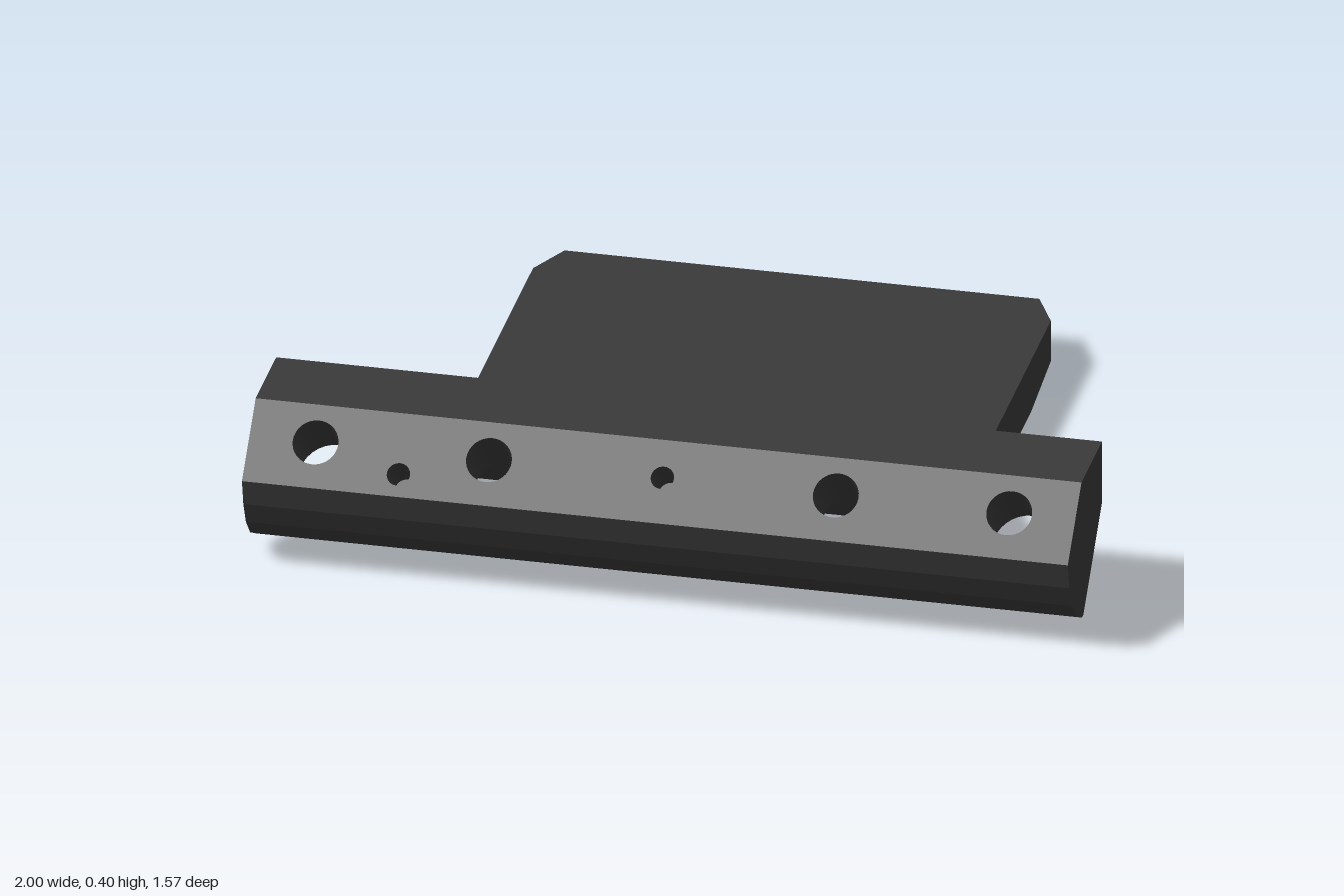
import * as THREE from 'three';

const COLOR = 0x3a3a3a;
const flat = new THREE.MeshStandardMaterial({ color: COLOR, flatShading: true, side: THREE.DoubleSide });
const smooth = new THREE.MeshStandardMaterial({ color: COLOR, side: THREE.DoubleSide });

function add(parent, name, geometry, material = flat) {
  const mesh = new THREE.Mesh(geometry, material);
  mesh.name = name;
  parent.add(mesh);
  return mesh;
}

// Sections are lists of [z, y] points, counter-clockwise
const sectionShape = (pts) => new THREE.Shape(pts.map(([z, y]) => new THREE.Vector2(z, y)));

// Section swept across x, centred on x = 0
function sweep(pts, halfWidth) {
  return new THREE.ExtrudeGeometry(sectionShape(pts), { depth: 2 * halfWidth, bevelEnabled: false })
    .translate(0, 0, -halfWidth)
    .rotateY(-Math.PI / 2);
}

// Walls of a section between x = -1 and x = 1, leaving some edges open
function sweepWalls(pts, openEdges) {
  const v = [];
  pts.forEach((a, i) => {
    if (openEdges.includes(i)) return;
    const b = pts[(i + 1) % pts.length];
    const p = (q, x) => v.push(x, q[1], q[0]);
    p(a, -1); p(b, 1); p(b, -1);
    p(a, -1); p(a, 1); p(b, 1);
  });
  const g = new THREE.BufferGeometry();
  g.setAttribute('position', new THREE.Float32BufferAttribute(v, 3));
  g.computeVertexNormals();
  return g;
}

// Flat face, 2 wide, pierced by round holes { x, y, r }
function piercedFace(halfHeight, holes) {
  const s = new THREE.Shape([[-1, -1], [1, -1], [1, 1], [-1, 1]]
    .map(([x, y]) => new THREE.Vector2(x, y * halfHeight)));
  for (const h of holes) {
    s.holes.push(new THREE.Path().absarc(h.x, h.y, h.r, 0, Math.PI * 2, true));
  }
  return new THREE.ShapeGeometry(s, 16);
}

// Open bore along local z, from z0 down to z1
function bore(parent, name, h, r, z0, z1) {
  const g = new THREE.CylinderGeometry(r, r, z0 - z1, 32, 1, true)
    .rotateX(Math.PI / 2)
    .translate(h.x, h.y, (z0 + z1) / 2);
  add(parent, name, g, smooth);
}

function buildBar() {
  const bar = new THREE.Group();
  bar.name = 'clampBar';

  const section = [
    [0.42, 0.24], [0.62, 0.04], [0.635, 0.04], [0.70, 0.075], [0.745, 0.125],
    [0.772, 0.185], [0.787, 0.253], [0.64, 0.40], [0.42, 0.40],
  ];
  add(bar, 'barWalls', sweepWalls(section, [0, 6]));
  for (const x of [-1, 1]) {
    add(bar, 'barEnd', new THREE.ShapeGeometry(sectionShape(section)).rotateY(-Math.PI / 2).translate(x, 0, 0));
  }

  // The two parallel slanted faces, in a frame tilted 45 degrees
  const tilted = new THREE.Group();
  tilted.name = 'boltFaces';
  tilted.position.set(0, 0.3265, 0.7135);
  tilted.rotation.x = -Math.PI / 4;
  bar.add(tilted);

  const back = -0.2687, step = -0.165;
  const bolts = [-0.84, -0.42, 0.42, 0.84].map((x) => ({ x, y: 0.01, r: 0.055 }));
  const pins = [{ x: 0, y: 0.01, r: 0.028 }, { x: -0.63, y: -0.048, r: 0.028 }];

  add(tilted, 'upperSlantedFace', piercedFace(0.104, [...bolts, ...pins]));
  const under = add(tilted, 'lowerSlantedFace',
    piercedFace(0.1414, bolts.map((h) => ({ x: h.x, y: -0.005, r: 0.085 }))));
  under.rotation.x = Math.PI;
  under.position.set(0, 0.005, back);

  // Counterbored bolt holes
  for (const h of bolts) {
    bore(tilted, 'boltHole', h, h.r, 0, step);
    bore(tilted, 'counterbore', h, 0.085, step, back);
    add(tilted, 'counterboreStep', new THREE.RingGeometry(h.r, 0.085, 32).translate(h.x, h.y, step));
  }
  // Blind pin holes
  for (const h of pins) {
    bore(tilted, 'pinHole', h, h.r, 0, -0.12);
    add(tilted, 'pinHoleBottom', new THREE.CircleGeometry(h.r, 32).translate(h.x, h.y, -0.12));
  }
  return bar;
}

export function createModel() {
  const model = new THREE.Group();
  model.name = 'mountingBracket';
  model.add(buildBar());

  // Plate sweeping down from the bar
  add(model, 'plate', sweep([
    [-0.68, 0.03], [-0.47, 0], [0.16, 0], [0.387, 0.21], [0.42, 0.218], [0.453, 0.208],
    [0.42, 0.40], [0.25, 0.227], [0.185, 0.178], [0.11, 0.147], [0.025, 0.136], [-0.68, 0.136],
  ], 0.627));

  // Plate tip, narrowed at its far edge
  const tip = sweep([[-0.787, 0.045], [-0.68, 0.03], [-0.68, 0.136], [-0.787, 0.136]], 0.627);
  const p = tip.attributes.position;
  for (let i = 0; i < p.count; i++) {
    if (p.getZ(i) < -0.75) p.setX(i, Math.sign(p.getX(i)) * 0.575);
  }
  add(model, 'plateTip', tip);

  // Central rib bridging the notch under the plate
  add(model, 'centreRib', sweep([
    [0.16, 0], [0.57, 0.03], [0.635, 0.04], [0.60, 0.10], [0.45, 0.25], [0.40, 0.25],
  ], 0.105));

  return model;
}
